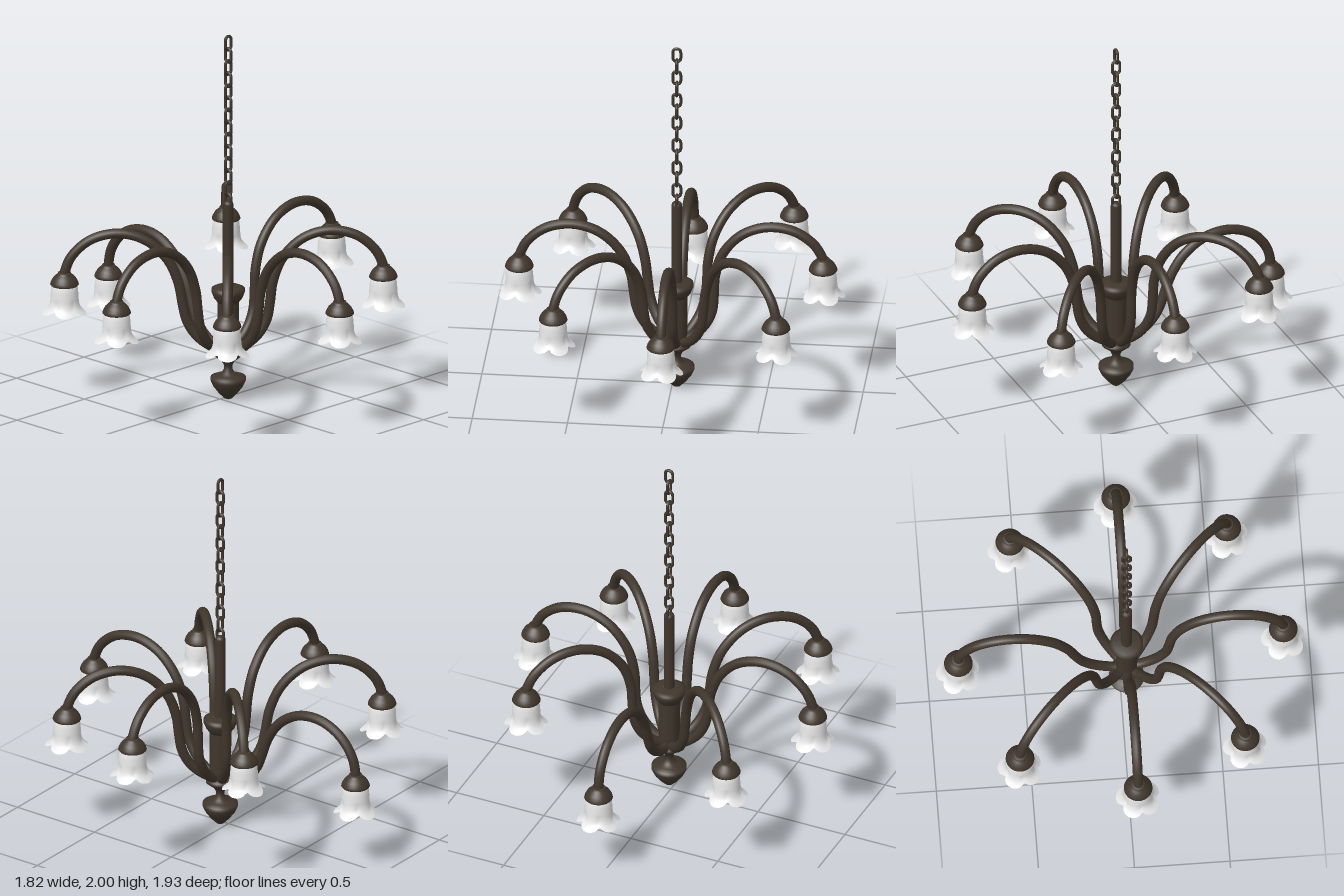
import * as THREE from 'three';

const bronze = new THREE.MeshStandardMaterial({ color: 0x40362c });
bronze.name = 'dark bronze';
const glass = new THREE.MeshStandardMaterial({ color: 0xe8e8e8, side: THREE.DoubleSide });
glass.name = 'frosted white glass';

const V2 = (list) => list.map(([x, y]) => new THREE.Vector2(x, y));

function mesh(name, geometry, material, parent) {
  const m = new THREE.Mesh(geometry, material);
  m.name = name;
  parent.add(m);
  return m;
}

// Profiles run from bottom to top so that faces point outwards
const lathe = (list, segments = 32) => new THREE.LatheGeometry(V2(list), segments);

// Bell of five flaring petals
function shadeGeometry() {
  const curve = new THREE.SplineCurve(V2([
    [0.117, -0.218], [0.09, -0.192], [0.077, -0.16], [0.073, -0.12], [0.069, -0.08], [0.06, -0.05],
  ]));
  const geometry = new THREE.LatheGeometry(curve.getPoints(14), 60);
  const p = geometry.attributes.position;
  const phase = THREE.MathUtils.degToRad(172);
  for (let i = 0; i < p.count; i++) {
    const x = p.getX(i), y = p.getY(i), z = p.getZ(i);
    const valley = 1 - Math.sqrt(Math.abs(Math.cos(2.5 * (Math.atan2(x, z) - phase))));
    const t = THREE.MathUtils.clamp((-0.13 - y) / 0.085, 0, 1) * valley;
    const s = 1 - 0.3 * t;
    p.setXYZ(i, x * s, y + 0.035 * t, z * s);
  }
  geometry.computeVertexNormals();
  return geometry;
}

// Arm centre line as [distance from hub, height above hub]
const armLine = [
  [0, 0.015], [0.08, 0.04], [0.16, 0.105], [0.208, 0.19], [0.226, 0.28], [0.245, 0.4],
  [0.3, 0.53], [0.41, 0.635], [0.55, 0.675], [0.69, 0.645], [0.79, 0.56], [0.83, 0.47], [0.834, 0.435],
];
const HUB_Y = 0.25;

// Turns and scales the arm line about the hub so that it ends at the given tip
function armGeometry(reach, height) {
  const turn = Math.atan2(height - HUB_Y, reach) - Math.atan2(0.47, 0.83);
  const scale = Math.hypot(reach, height - HUB_Y) / Math.hypot(0.83, 0.47);
  const c = Math.cos(turn) * scale, s = Math.sin(turn) * scale;
  const points = armLine.map(([r, y]) => new THREE.Vector3(r * c - y * s, HUB_Y + r * s + y * c, 0));
  return new THREE.TubeGeometry(new THREE.CatmullRomCurve3(points), 56, 0.026, 12);
}

export function createModel() {
  const model = new THREE.Group();
  model.name = 'chandelier';
  const body = new THREE.Group();
  body.name = 'body';
  body.position.set(0.026, 0, 0.034);
  model.add(body);

  // Finial, neck and dish under the arms
  mesh('finial', lathe([
    [0, 0], [0.02, 0.008], [0.05, 0.038], [0.078, 0.075], [0.092, 0.105], [0.092, 0.125],
    [0.06, 0.135], [0.034, 0.148], [0.022, 0.168], [0.022, 0.188], [0.034, 0.212],
    [0.075, 0.245], [0.075, 0.262], [0.05, 0.285], [0, 0.29],
  ]), bronze, body);

  // Column, collar and upper rod
  mesh('column', new THREE.CylinderGeometry(0.056, 0.056, 0.3, 24), bronze, body).position.y = 0.41;
  mesh('collar', lathe([
    [0, 0.53], [0.056, 0.535], [0.075, 0.56], [0.087, 0.59], [0.087, 0.61], [0.07, 0.618], [0.028, 0.622],
  ]), bronze, body);
  mesh('rod', lathe([
    [0.028, 0.6], [0.028, 1.07], [0.024, 1.082], [0.012, 1.088], [0, 1.089],
  ], 20), bronze, body);

  // Chain of links turned alternately
  const linkLine = [];
  for (let i = 0; i < 16; i++) {
    const a = (i / 16) * Math.PI * 2;
    linkLine.push(new THREE.Vector3(0.021 * Math.cos(a), 0.021 * Math.sin(a) + 0.017 * Math.sign(Math.round(Math.sin(a) * 100)), 0));
  }
  const linkGeometry = new THREE.TubeGeometry(new THREE.CatmullRomCurve3(linkLine, true), 36, 0.008, 8, true);
  const chain = new THREE.Group();
  chain.name = 'chain';
  body.add(chain);
  for (let i = 0; i < 14; i++) {
    const link = mesh('chainLink', linkGeometry, bronze, chain);
    link.position.y = 1.954 - i * 0.0665;
    link.rotation.y = i % 2 ? Math.PI / 2 : 0;
  }

  // Lamp parts, hung from the arm tip
  const capGeometry = lathe([
    [0, -0.066], [0.07, -0.066], [0.075, -0.06], [0.071, -0.046], [0.06, -0.026],
    [0.044, -0.01], [0.036, -0.004], [0.034, 0.004], [0, 0.004],
  ], 28);
  const glassGeometry = shadeGeometry();
  const bulbGeometry = new THREE.CapsuleGeometry(0.023, 0.075, 6, 16);

  // Arm tips relative to the hub: x, height, z
  const tips = [
    [0.767, 0.79, 0], [0.558, 0.795, -0.57], [0, 0.535, -0.88], [-0.606, 0.695, -0.602],
    [-0.826, 0.727, 0], [-0.59, 0.727, 0.578], [0, 0.722, 0.82], [0.578, 0.73, 0.567],
  ];
  for (const [x, y, z] of tips) {
    const arm = mesh('arm', armGeometry(Math.hypot(x, z), y), bronze, body);
    arm.rotation.y = Math.atan2(-z, x);
    const lamp = new THREE.Group();
    lamp.name = 'lamp';
    lamp.position.set(x, y, z);
    body.add(lamp);
    mesh('lampCap', capGeometry, bronze, lamp);
    mesh('glassShade', glassGeometry, glass, lamp);
    mesh('bulb', bulbGeometry, glass, lamp).position.y = -0.115;
  }
  return model;
}
